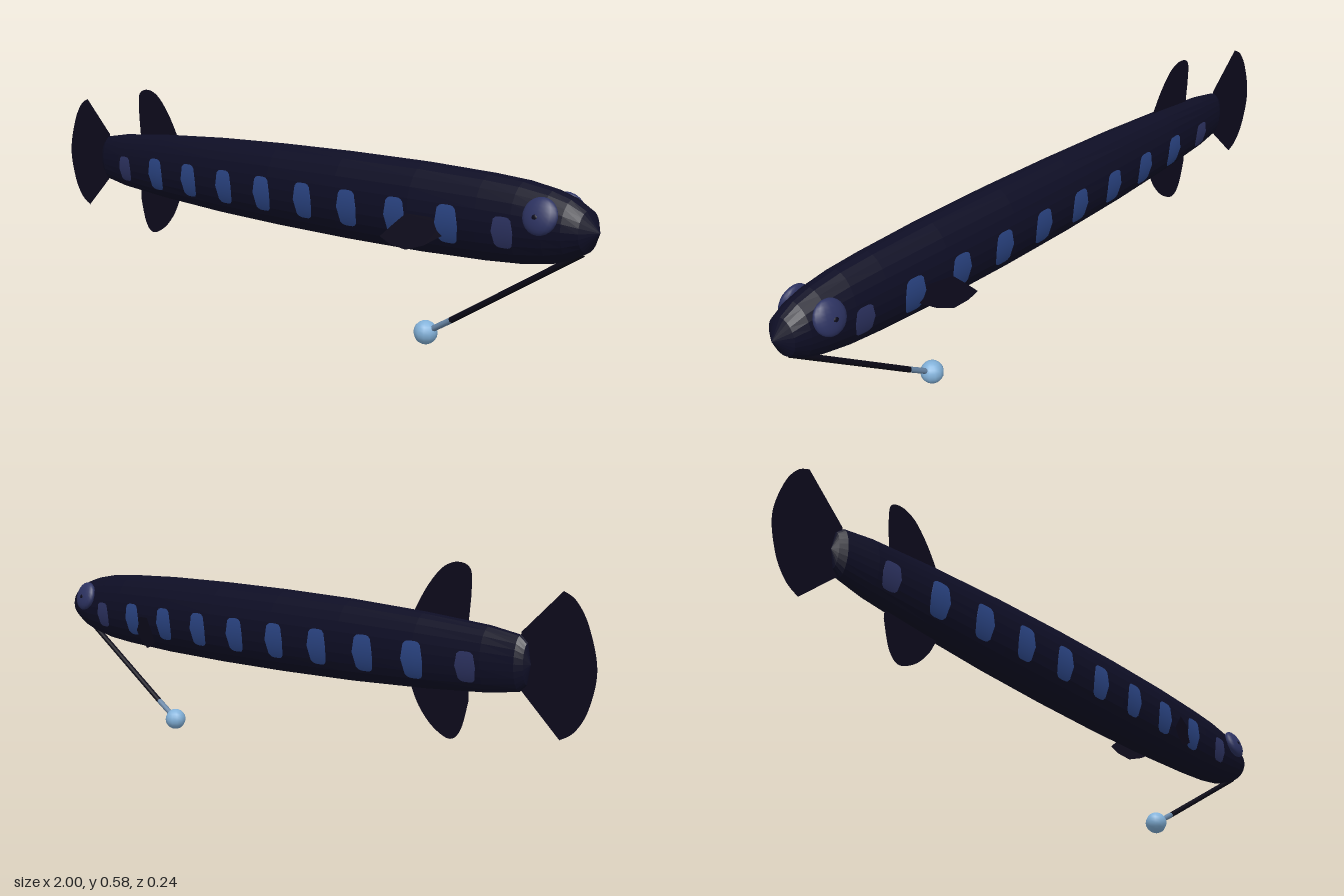
import * as THREE from 'three';
import { ParametricGeometry } from 'three/addons/geometries/ParametricGeometry.js';

const mat = (name, color, side = THREE.FrontSide) => {
  const m = new THREE.MeshStandardMaterial({ color, side });
  m.name = name;
  return m;
};

// Body stations: x, half height, half width
const STATIONS = [
  [-0.82, 0, 0], [-0.81, 0.05, 0.018], [-0.79, 0.068, 0.028], [-0.7, 0.082, 0.041],
  [-0.5, 0.097, 0.055], [-0.25, 0.109, 0.067], [0, 0.115, 0.075], [0.25, 0.117, 0.079],
  [0.5, 0.115, 0.077], [0.7, 0.108, 0.071], [0.8, 0.101, 0.067], [0.88, 0.088, 0.062],
  [0.93, 0.073, 0.056], [0.97, 0.05, 0.045], [1, 0, 0],
];
const CY = 0.356;

function sectionAt(x) {
  let i = 1;
  while (i < STATIONS.length - 1 && STATIONS[i][0] < x) i++;
  const a = STATIONS[i - 1], b = STATIONS[i];
  const t = (x - a[0]) / (b[0] - a[0]);
  return [a[1] + (b[1] - a[1]) * t, a[2] + (b[2] - a[2]) * t];
}

export function createModel() {
  const group = new THREE.Group();
  const skin = mat('midnight skin', 0x0e0e25);
  const finMat = mat('dark fin', 0x0d0a1c, THREE.DoubleSide);
  const stalkMat = mat('dark stalk', 0x0a0816);
  const spotMat = mat('blue light organ', 0x2b4585);
  const eyeMat = mat('dusky eye', 0x2d3362);
  const pupilMat = mat('pupil', 0x0b0b1c);
  const glow = mat('pale blue lure', 0x83b2da);
  const tipMat = mat('grey blue stalk tip', 0x6a88a8);

  const add = (name, geometry, material) => {
    const mesh = new THREE.Mesh(geometry, material);
    mesh.name = name;
    group.add(mesh);
    return mesh;
  };

  // Body skinned through the stations with elliptical sections
  const last = STATIONS.length - 1;
  add('body', new ParametricGeometry((u, v, p) => {
    const [x, h, w] = STATIONS[Math.round(u * last)];
    const a = v * Math.PI * 2;
    p.set(x, CY + h * Math.sin(a), w * Math.cos(a));
  }, last, 24), skin);

  // Row of light organs hugging each flank
  const spot = (cx, side, rx, ry) => new ParametricGeometry((u, v, p) => {
    const s = u * 2 - 1;
    const x = cx + side * s * rx;
    const [h, w] = sectionAt(x);
    const y = 0.337 + (v * 2 - 1) * ry * Math.pow(Math.max(0, 1 - s ** 4), 0.4);
    const k = Math.min(0.95, Math.max(-0.95, (y - CY) / h));
    p.set(x, y, side * (w * Math.sqrt(1 - k * k) + 0.003));
  }, 10, 8);
  for (const side of [1, -1]) {
    for (let i = 0; i < 10; i++) {
      const end = i === 0 || i === 9;
      add('lightOrgan', spot(-0.66 + i * 0.16, side, end ? 0.03 : 0.034, end ? 0.038 : 0.048),
        end ? eyeMat : spotMat);
    }
  }

  // Eyes: flattened domes leaning inward at the top
  for (const side of [1, -1]) {
    const eye = add('eye', new THREE.SphereGeometry(0.045, 16, 12), eyeMat);
    eye.scale.z = 0.42;
    eye.position.set(0.88, 0.388, side * 0.062);
    eye.rotation.set(-side * 0.3, side * 0.08, 0);
    const pupil = add('pupil', new THREE.SphereGeometry(0.009, 10, 8), pupilMat);
    pupil.scale.z = 0.4;
    pupil.position.set(0.877, 0.385, side * 0.0795);
  }

  // Flat upright fins, each a smooth outline between straight roots
  const fin = (name, start, curve, end) => {
    const s = new THREE.Shape();
    s.moveTo(...start);
    s.lineTo(...curve[0]);
    s.splineThru(curve.slice(1).map(([x, y]) => new THREE.Vector2(x, y)));
    s.lineTo(...end);
    s.closePath();
    return add(name, new THREE.ShapeGeometry(s, 6), finMat);
  };
  fin('tailFin', [-0.79, 0.43],
    [[-0.905, 0.535], [-0.94, 0.515], [-0.975, 0.46], [-1, 0.363], [-0.98, 0.27], [-0.945, 0.215], [-0.905, 0.19]],
    [-0.79, 0.295]);
  fin('dorsalFin', [-0.63, 0.4],
    [[-0.64, 0.5], [-0.638, 0.565], [-0.6, 0.583], [-0.55, 0.567], [-0.5, 0.515], [-0.455, 0.445]],
    [-0.44, 0.4]);
  fin('analFin', [-0.635, 0.31],
    [[-0.638, 0.245], [-0.615, 0.17], [-0.58, 0.142], [-0.525, 0.165], [-0.48, 0.21], [-0.452, 0.26]],
    [-0.445, 0.31]);

  // Pectoral fins: upright blades sweeping outward to the rear
  const blade = [[0.605, 0.335], [0.575, 0.349], [0.515, 0.353], [0.485, 0.325], [0.45, 0.29],
    [0.475, 0.273], [0.515, 0.262], [0.56, 0.277], [0.605, 0.305]];
  for (const side of [1, -1]) {
    const geo = new THREE.ShapeGeometry(new THREE.Shape(blade.map(([x, y]) => new THREE.Vector2(x, y))));
    const pos = geo.attributes.position;
    for (let i = 0; i < pos.count; i++) {
      pos.setZ(i, side * (0.119 - (pos.getX(i) - 0.45) * 0.327));
    }
    geo.computeVertexNormals();
    add('pectoralFin', geo, finMat);
  }

  // Chin lure: dark stalk, pale tip and glowing bulb
  const root = new THREE.Vector3(0.96, 0.305, 0);
  const joint = new THREE.Vector3(0.585, 0.078, 0);
  const bulb = new THREE.Vector3(0.505, 0.032, 0);
  const rod = (name, a, b, m) =>
    add(name, new THREE.TubeGeometry(new THREE.LineCurve3(a, b), 8, 0.008, 8), m);
  rod('lureStalk', root, joint, stalkMat);
  rod('lureTip', joint, bulb, tipMat);
  add('lureBulb', new THREE.SphereGeometry(0.031, 12, 10), glow).position.copy(bulb);

  return group;
}
